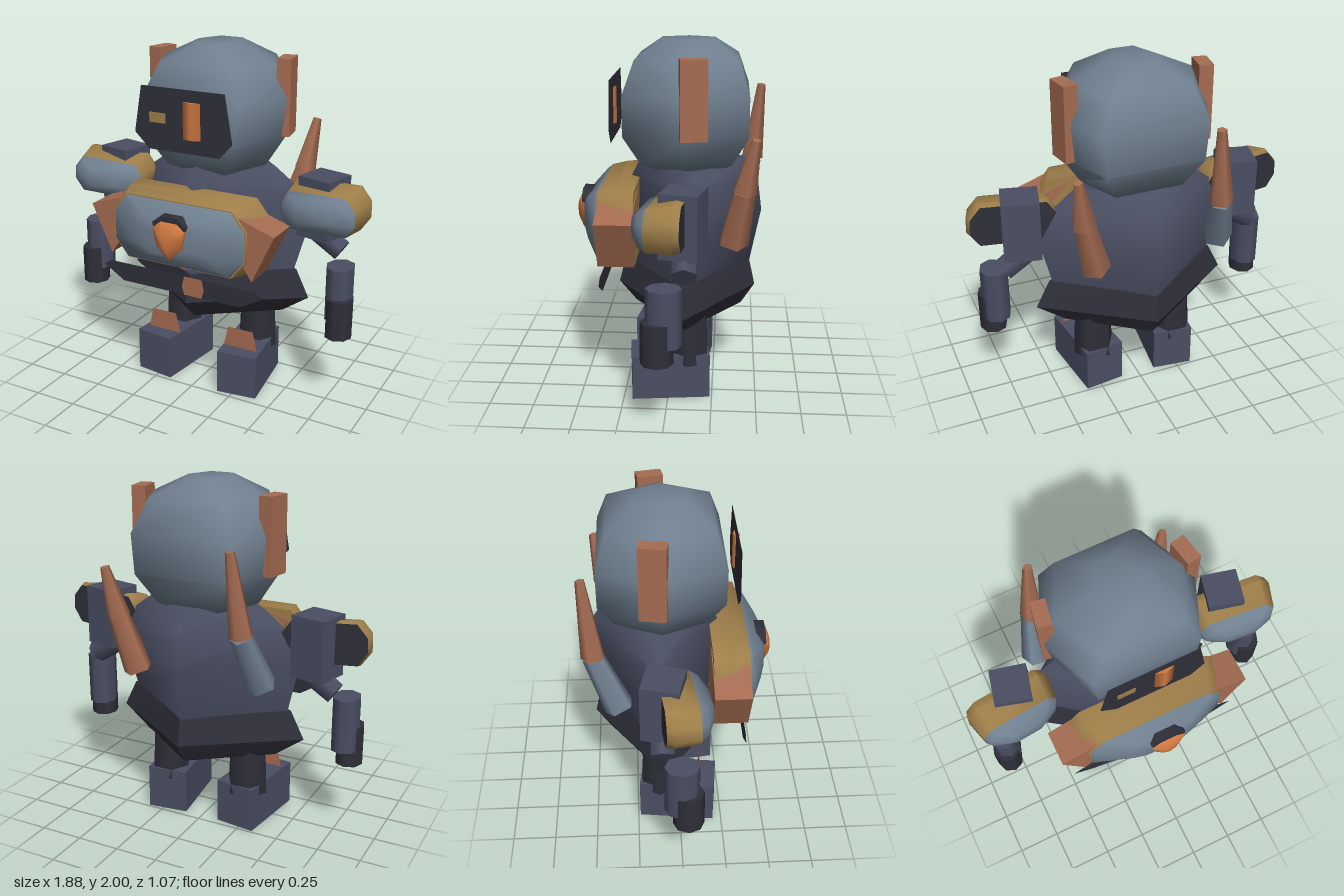
import * as THREE from 'three';
import { toCreasedNormals } from 'three/addons/utils/BufferGeometryUtils.js';

const paint = (name, color) => {
  const m = new THREE.MeshStandardMaterial({ color });
  m.name = name;
  return m;
};

export function createModel() {
  const model = new THREE.Group();
  model.name = 'robot';
  const steel = paint('steel blue', 0x708090);
  const navy = paint('navy grey', 0x4a4e62);
  const charcoal = paint('charcoal', 0x2f2f3a);
  const copper = paint('copper', 0xa56c52);
  const brass = paint('brass', 0x9f7f4a);
  const orange = paint('glowing orange', 0xd27a42);

  const add = (name, geometry, material, parent = model) => {
    const mesh = new THREE.Mesh(geometry, material);
    mesh.name = name;
    parent.add(mesh);
    return mesh;
  };

  // Skin between cross-sections, counter-clockwise seen from the last one
  const loft = (rings, crease = 0.9, capStart = true, capEnd = true) => {
    const pos = [], n = rings[0].length;
    const tri = (...pts) => pts.forEach((p) => pos.push(...p));
    for (let k = 0; k + 1 < rings.length; k++) {
      const a = rings[k], b = rings[k + 1];
      for (let i = 0; i < n; i++) {
        const j = (i + 1) % n;
        tri(a[i], a[j], b[j]);
        tri(a[i], b[j], b[i]);
      }
    }
    const first = rings[0], last = rings[rings.length - 1];
    for (let i = 1; i + 1 < n; i++) {
      if (capStart) tri(first[0], first[i + 1], first[i]);
      if (capEnd) tri(last[0], last[i], last[i + 1]);
    }
    const g = new THREE.BufferGeometry();
    g.setAttribute('position', new THREE.Float32BufferAttribute(pos, 3));
    return toCreasedNormals(g, crease);
  };

  // Horizontal sections: six corners, or four corners facing the axes
  const hexRing = (y, w, zb, zf, c) => {
    const m = (zb + zf) / 2;
    return [[w, y, m], [w * c, y, zb], [-w * c, y, zb], [-w, y, m], [-w * c, y, zf], [w * c, y, zf]];
  };
  const diamondRing = ([y, w, zb, zf, ySide = y]) => {
    const m = (zb + zf) / 2;
    return [[w, ySide, m], [0, y, zb], [-w, ySide, m], [0, y, zf]];
  };
  // Eight-sided upright section
  const octRing = (z, w, h, cx, cy, c = 0.8, d = 0.45) =>
    [[1, -d], [1, d], [c, 1], [-c, 1], [-1, d], [-1, -d], [-c, -1], [c, -1]]
      .map(([x, y]) => [cx + x * w, cy + y * h, z]);
  const plate = (points, depth) => new THREE.ExtrudeGeometry(
    new THREE.Shape(points.map(([x, y]) => new THREE.Vector2(x, y))), { depth, bevelEnabled: false });
  const box = (name, size, at, mat, ry = 0) => {
    const mesh = add(name, new THREE.BoxGeometry(...size), mat);
    mesh.position.set(...at);
    mesh.rotation.y = ry;
    return mesh;
  };
  // Upright oval post with a few smooth sides
  const post = (name, [w, h, d], at, sides, mat) => {
    const mesh = add(name, new THREE.CylinderGeometry(0.5, 0.5, 1, sides), mat);
    mesh.scale.set(w, h, d);
    mesh.position.set(...at);
  };
  // Tapered bar between two points
  const bar = (name, from, to, r0, r1, sides, mat) => {
    const a = new THREE.Vector3(...from), b = new THREE.Vector3(...to);
    const g = new THREE.CylinderGeometry(r1, r0, a.distanceTo(b), sides).rotateY(Math.PI / sides);
    const mesh = add(name, g, mat);
    mesh.position.copy(a).add(b).multiplyScalar(0.5);
    mesh.quaternion.setFromUnitVectors(new THREE.Vector3(0, 1, 0), b.sub(a).normalize());
  };

  // Head
  add('head', loft([
    [1.27, 0.18, 0.15, 0.6], [1.33, 0.3, 0.25, 0.64], [1.5, 0.41, 0.34, 0.68],
    [1.72, 0.435, 0.34, 0.68], [1.9, 0.345, 0.28, 0.64], [2, 0.13, 0.145, 0.52],
  ].map(([y, w, d, c]) => hexRing(y, w, -0.09 - d, -0.09 + d, c)), 1.25), steel);

  // Face: floating visor, lit bar and small lamp
  add('visor', plate([[-0.3, 1.54], [-0.21, 1.455], [0.22, 1.455], [0.295, 1.54], [0.25, 1.8], [-0.255, 1.8]], 0.002),
    charcoal).position.z = 0.318;
  post('eyeBar', [0.106, 0.2, 0.036], [0.055, 1.635, 0.322], 4, orange);
  box('eyeLamp', [0.1, 0.055, 0.004], [-0.155, 1.633, 0.321], brass);

  // Torso and hips: four-cornered, ridged at the front, back and sides
  add('torso', loft([
    [0.7, 0.48, -0.45, 0.26], [1.03, 0.565, -0.515, 0.26], [1.22, 0.47, -0.49, 0.23], [1.34, 0.35, -0.42, 0.17, 1.31],
  ].map(diamondRing), 1.3), navy);
  add('hips', loft([
    [0.45, 0.42, -0.41, 0.21], [0.57, 0.585, -0.487, 0.31], [0.73, 0.505, -0.452, 0.27],
  ].map(diamondRing), 0.6), charcoal);

  // Belt
  add('belt', plate([[-0.51, 0.73], [-0.38, 0.65], [0.37, 0.65], [0.51, 0.73], [0.46, 0.76], [-0.46, 0.76]], 0.002),
    charcoal).position.z = 0.36;
  add('buckle', plate([[0.01, 0.7], [0.025, 0.65], [0.135, 0.65], [0.148, 0.7], [0.135, 0.76], [0.025, 0.76]], 0.003),
    copper).position.z = 0.363;

  // Chest plate: brass frame, steel bulge and gem
  add('chestFrame', loft([
    octRing(0.18, 0.47, 0.212, 0, 1.012), octRing(0.3, 0.45, 0.202, 0, 1.012), octRing(0.385, 0.41, 0.19, 0, 1.01),
  ]), brass);
  add('chestPanel', loft([
    octRing(0.375, 0.408, 0.186, 0, 1.01), octRing(0.4, 0.395, 0.18, 0, 1.01),
    octRing(0.465, 0.22, 0.12, 0, 1.01), octRing(0.49, 0.13, 0.09, 0, 1.01),
  ], 1.1), steel);
  add('chestKeel', plate([[-0.12, 0.83], [0.015, 0.795], [0.15, 0.83]], 0.175), copper).position.z = 0.175;
  const gemOutline = [[0, -0.11], [0.075, -0.035], [0.1, 0.07], [0.05, 0.11], [-0.05, 0.11], [-0.1, 0.07], [-0.075, -0.035]];
  const gemRing = (z, s, dy) => gemOutline.map(([x, y]) => [0.015 + x * s, 1.015 + dy + y * s, z]);
  add('gemMount', loft([gemRing(0.45, 1.08, 0.018), gemRing(0.505, 1.02, 0.025)]), charcoal);
  add('gem', loft([gemRing(0.48, 1, 0), gemRing(0.512, 0.97, 0), gemRing(0.535, 0.5, 0)], 1.1), orange);

  for (const s of [1, -1]) {
    // Chest corner fins
    const fin = [[0.57, 1.095], [0.26, 1.2], [0.39, 1.08], [0.39, 0.9], [0.445, 0.82]];
    add('chestFin', plate(fin.map(([x, y]) => [s * x, y]), 0.2), copper).position.z = 0.175;

    // Ears
    box('ear', [0.08, 0.425, 0.145], [s * 0.392, 1.722, -0.135], copper, s * 0.17);

    // Shoulder guard, yawed so that its outer end leads
    const shoulder = new THREE.Group();
    shoulder.name = 'shoulder';
    shoulder.position.set(s * 0.68, 1.165, 0);
    shoulder.rotation.set(0, -s * 0.11, s * 0.05);
    model.add(shoulder);
    const section = (z, w, h, y) => octRing(z, w, h, 0, y, 0.76, 0.36);
    add('shoulderShell', loft([
      section(-0.12, 0.235, 0.115, 0), section(-0.08, 0.25, 0.122, 0), section(0.06, 0.225, 0.108, -0.02),
    ], 0.9, false, false), brass, shoulder);
    add('shoulderFront', loft([
      section(0.06, 0.225, 0.108, -0.02), section(0.1, 0.195, 0.09, -0.02), section(0.143, 0.1, 0.05, -0.02),
    ], 1.1, false), steel, shoulder);
    add('shoulderBack', loft([section(-0.12, 0.235, 0.115, 0), section(-0.117, 0.235, 0.115, 0)]), charcoal, shoulder);

    // Arms
    box('upperArm', [0.205, 0.345, 0.205], [s * 0.65, 1.142, -0.1], navy, -0.24);
    bar('elbow', [s * 0.6, 1.0, -0.11], [s * 0.765, 0.89, -0.11], 0.075, 0.07, 6, navy);
    post('forearm', [0.16, 0.31, 0.19], [s * 0.8, 0.69, -0.01], 8, navy);
    post('hand', [0.156, 0.23, 0.172], [s * 0.817, 0.555, 0.025], 8, charcoal);

    // Legs and feet
    bar('leg', [s * 0.255, 0.2, -0.117], [s * 0.255, 0.52, -0.113], 0.122, 0.108, 6, charcoal);
    box('foot', [0.237, 0.26, 0.44], [s * 0.25, 0.13, -0.005], navy, s * 0.125);
    const guard = [[-0.108, 0.25], [0.108, 0.25], [0.08, 0.38], [-0.08, 0.38]];
    add('shinGuard', plate(guard, 0.002), copper).position.set(s * 0.257, 0, 0.122);
  }

  // Back horns, each of two tapered pieces
  const horn = (base, joint, tip, lower) => {
    bar('hornBase', base, joint, 0.085, 0.062, 5, lower);
    bar('hornTip', joint, tip, 0.067, 0.026, 5, copper);
  };
  horn([0.32, 0.93, -0.355], [0.4, 1.24, -0.41], [0.445, 1.53, -0.465], copper);
  horn([-0.43, 0.95, -0.33], [-0.37, 1.25, -0.46], [-0.325, 1.7, -0.505], steel);

  return model;
}
